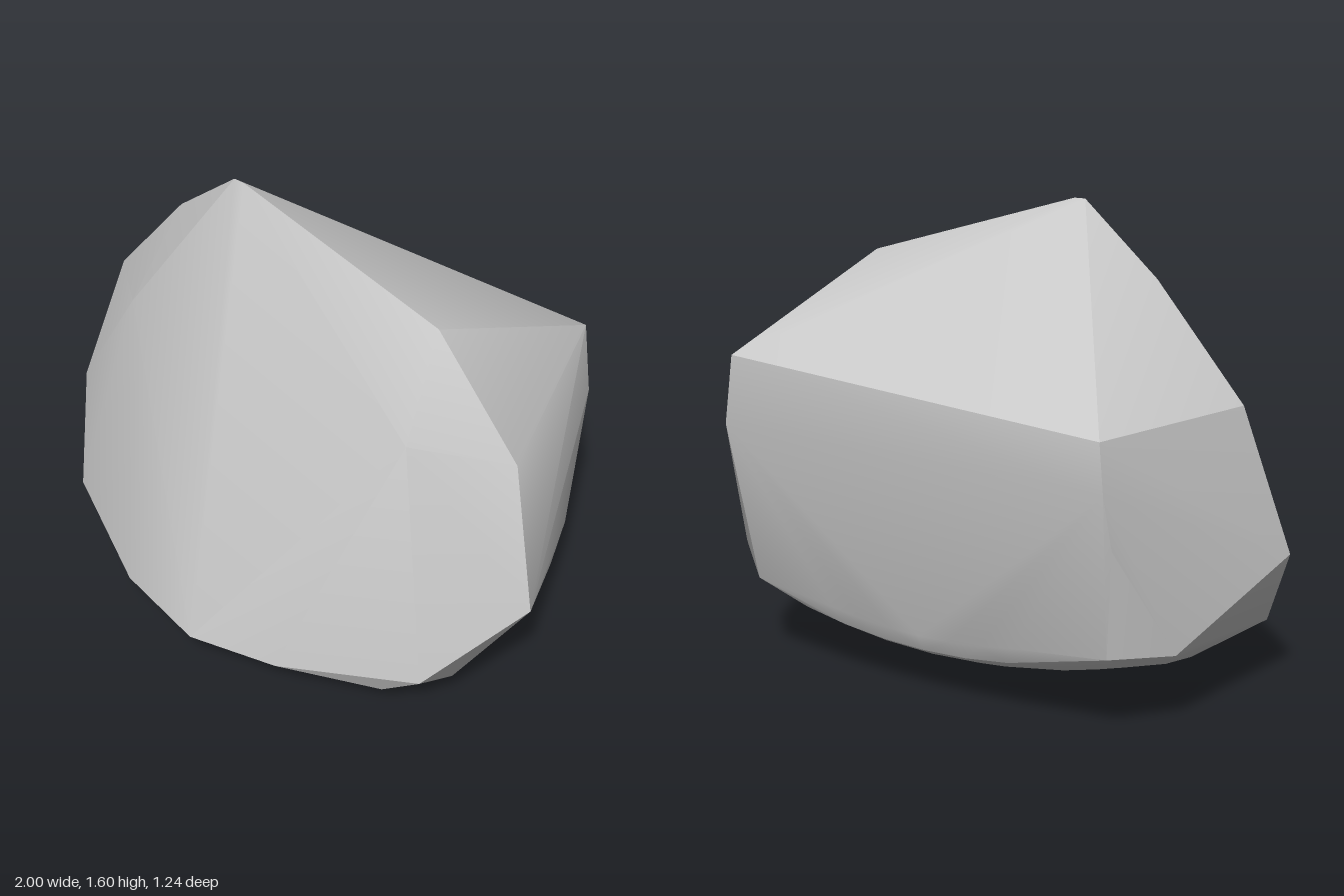
import * as THREE from 'three';
import { ConvexGeometry } from 'three/addons/geometries/ConvexGeometry.js';
import { toCreasedNormals } from 'three/addons/utils/BufferGeometryUtils.js';

export function createModel() {
  const group = new THREE.Group();
  const stone = new THREE.MeshStandardMaterial({ color: 0xc8c8c8 });
  stone.name = 'stone grey';

  const points = [];
  const add = (x, y, z) => points.push(new THREE.Vector3(x, y, z));
  const addPair = (x, y, z) => { add(x, y, z); add(-x, y, z); };

  // Rim of the sloping front face
  add(-0.26, 1.6, 0.07);
  add(-0.22, 1.6, 0.07);
  addPair(0.55, 1.37, 0.03);
  addPair(0.87, 1.0, 0.02);
  add(1.0, 0.5, 0.07);
  add(-1.0, 0.5, 0.13);
  add(0.76, 0.2, 0.32);
  add(-0.84, 0.18, 0.33);
  add(0.31, 0.14, 0.53);
  add(-0.39, 0.11, 0.53);
  add(0, 0.14, 0.62);

  // Shoulders where the front face bends back to its rim
  addPair(0.6, 1.06, 0.235);

  // Back face, left edge
  add(0.67, 1.1, -0.62);
  add(0.715, 0.86, -0.61);
  add(0.77, 0.4, -0.46);
  add(0.67, 0.3, -0.52);

  // Back face, right edge
  add(-0.7, 1.0, -0.6);
  add(-0.72, 0.84, -0.61);
  add(-0.73, 0.66, -0.57);
  add(-0.69, 0.29, -0.52);

  // Lower edge of the flanks
  add(0.78, 0.265, -0.38);
  add(0.76, 0.185, -0.08);
  add(0.79, 0.15, 0.18);
  add(-0.83, 0.27, -0.33);

  // Bowed underside: rows of [z, height at the middle, half width]
  const rows = [
    [0.35, 0, 0.1], [0.34, 0.001, 0.62], [0.1, 0.01, 0.76], [-0.08, 0.028, 0.76],
    [-0.22, 0.055, 0.74], [-0.35, 0.097, 0.66], [-0.45, 0.14, 0.56],
    [-0.5, 0.17, 0.48], [-0.53, 0.23, 0.35],
  ];
  for (const [z, y, half] of rows) {
    for (let i = -3; i <= 3; i++) {
      const x = (half * i) / 3;
      add(x, y + 0.24 * x * x, z);
    }
  }

  const rock = new THREE.Mesh(toCreasedNormals(new ConvexGeometry(points), 0.5), stone);
  rock.name = 'rock';
  group.add(rock);
  return group;
}
